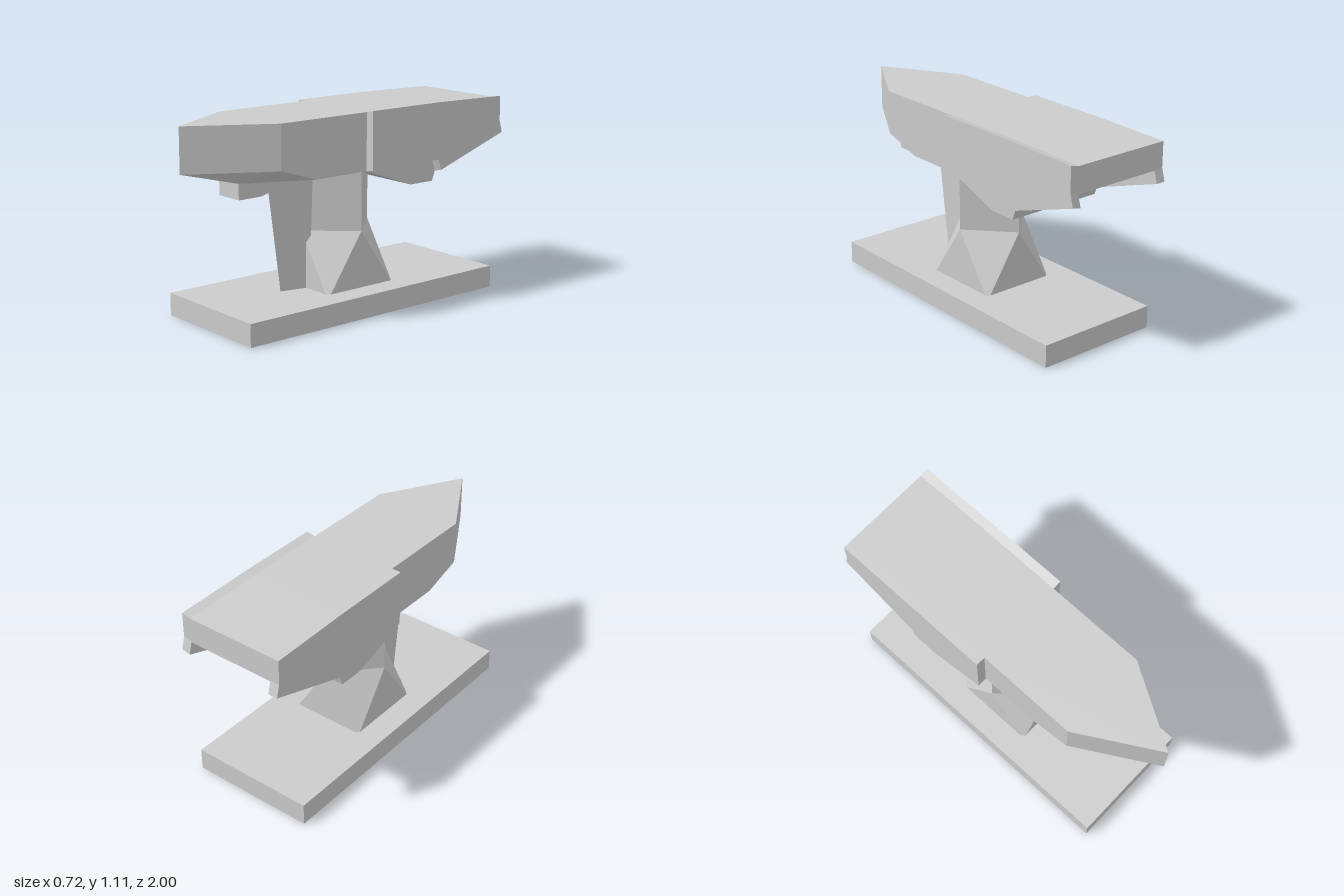
import * as THREE from 'three';
import { ConvexGeometry } from 'three/addons/geometries/ConvexGeometry.js';

export function createModel() {
  const model = new THREE.Group();
  const material = new THREE.MeshStandardMaterial({ color: 0xcccccc, flatShading: true });

  function add(name, geometry) {
    const mesh = new THREE.Mesh(geometry, material);
    mesh.name = name;
    model.add(mesh);
    return mesh;
  }

  // Faceted solid around a few corner points
  const hull = (points) => new ConvexGeometry(points.map((p) => new THREE.Vector3(...p)));

  // Corner points given for +x, repeated on -x
  const mirrored = (points) => points.flatMap(([x, y, z]) => (x ? [[x, y, z], [-x, y, z]] : [[x, y, z]]));

  // Side profile of [z, y] points, extruded from x0 to x1
  function sideProfile(points, x0, x1) {
    const shape = new THREE.Shape(points.map(([z, y]) => new THREE.Vector2(-z, y)));
    return new THREE.ExtrudeGeometry(shape, { depth: x1 - x0, bevelEnabled: false })
      .rotateY(Math.PI / 2)
      .translate(x0, 0, 0);
  }

  // Base slab
  add('baseSlab', new THREE.BoxGeometry(0.72, 0.125, 1.72).translate(0, 0.0625, -0.02));

  // Pedestal: chamfered square foot turning into a diamond column
  const diamond = (y) => mirrored([[0.22, y, -0.015], [0, y, 0.22], [0, y, -0.25]]);
  const foot = mirrored([[0.22, 0.125, 0.2], [0.2, 0.125, 0.22], [0.22, 0.125, -0.23], [0.2, 0.125, -0.25]]);
  add('pedestalFoot', hull([...foot, ...diamond(0.44)]));
  add('pedestalColumn', hull([...diamond(0.44), ...diamond(0.785)]));

  // Wedge-shaped rib on the front of the column
  add('frontRib', hull(mirrored([
    [0.038, 0.125, 0.2], [0, 0.125, 0.37],
    [0.046, 0.76, 0.18], [0, 0.72, 0.45],
  ])));

  // Pointed front half with a chamfered underside
  add('horn', hull(mirrored([
    [0, 1.095, 1], [0.26, 1.095, 0.56], [0.26, 1.095, -0.015],
    [0, 0.85, 1], [0.26, 0.85, 0.56],
    [0.085, 0.777, 0.7], [0.26, 0.777, 0.33], [0.26, 0.777, -0.015],
  ])));

  // Small block under the horn, tapering back to the column
  add('hornBlock', hull(mirrored([
    [0.085, 0.78, 0.7], [0.085, 0.69, 0.7], [0.085, 0.69, 0.56],
    [0.085, 0.78, 0.56], [0.045, 0.78, 0.2], [0.045, 0.76, 0.2],
  ])));

  // Rear half of the body
  add('rearBody', sideProfile([
    [-0.015, 0.775], [-0.5, 0.775], [-0.98, 0.94], [-0.98, 1.085], [-0.5, 1.095], [-0.015, 1.095],
  ], -0.26, 0.26));

  // Side plates; the left one rises slightly towards its outer face
  const plate = [
    [-0.015, 0.775], [-0.5, 0.775], [-0.52, 0.715], [-1, 0.875],
    [-0.98, 0.945], [-0.98, 1.085], [-0.5, 1.095], [-0.015, 1.095],
  ];
  add('rightSidePlate', sideProfile(plate, -0.315, -0.26));
  const leftGeometry = sideProfile(plate, 0.26, 0.31);
  const position = leftGeometry.attributes.position;
  for (let i = 0; i < position.count; i++) {
    if (position.getX(i) > 0.3) position.setY(i, position.getY(i) + 0.011);
  }
  leftGeometry.computeVertexNormals();
  add('leftSidePlate', leftGeometry);

  // Sloping sides of the recess under the rear
  for (const side of [-1, 1]) {
    add(side < 0 ? 'rightRecessSlope' : 'leftRecessSlope', hull([
      [side * 0.26, 0.715, -0.52], [0, 0.775, -0.5],
      [side * 0.26, 0.94, -0.98], [side * 0.26, 0.776, -0.5],
    ]));
  }

  // Bracket under the rear body
  add('rearBracket', sideProfile([
    [-0.015, 0.777], [-0.34, 0.66], [-0.5, 0.66], [-0.52, 0.715], [-0.5, 0.777],
  ], -0.315, 0.26));

  return model;
}
